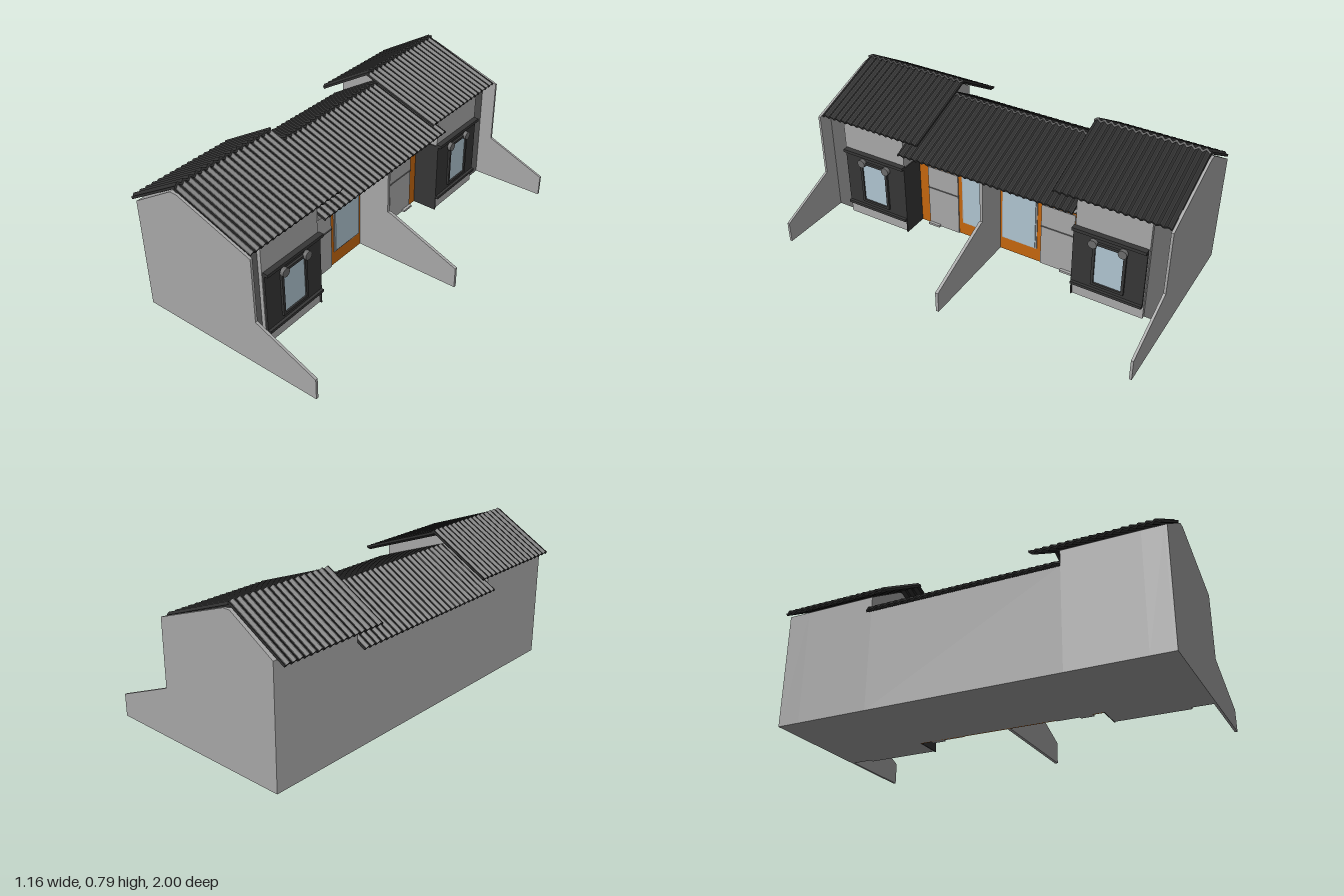
import * as THREE from 'three';

const mat = (name, color) => {
  const m = new THREE.MeshStandardMaterial({ color });
  m.name = name;
  return m;
};

export function createModel() {
  const house = new THREE.Group();
  house.name = 'terraceHouses';
  const render = mat('greyRender', 0xa8a8a8);
  const shade = mat('darkGreyRender', 0x6b6b6b);
  const tile = mat('roofTile', 0x2f2f2f);
  const panel = mat('charcoalPanel', 0x363636);
  const orange = mat('orangeCladding', 0xc4660e);
  const glass = mat('paleGlass', 0xafc4d0);

  const add = (name, geometry, material) => {
    const mesh = new THREE.Mesh(geometry, material);
    mesh.name = name;
    house.add(mesh);
    return mesh;
  };

  // Box given by its limits on each axis
  const box = (name, m, x0, x1, y0, y1, z0, z1) => {
    const g = new THREE.BoxGeometry(x1 - x0, y1 - y0, Math.abs(z1 - z0));
    g.translate((x0 + x1) / 2, (y0 + y1) / 2, (z0 + z1) / 2);
    return add(name, g, m);
  };

  // Side outline (x, y) extruded between two z values
  const slab = (name, m, points, z0, z1) => {
    const shape = new THREE.Shape(points.map(([x, y]) => new THREE.Vector2(x, y)));
    const g = new THREE.ExtrudeGeometry(shape, { depth: Math.abs(z1 - z0), bevelEnabled: false });
    g.translate(0, 0, Math.min(z0, z1));
    return add(name, g, m);
  };

  // Corrugated sheet running from point a (larger x) to point b
  const roofSheet = (name, a, b, z0, z1) => {
    const width = z1 - z0, pitch = 0.037, perWave = 8;
    const n = Math.round((width / pitch) * perWave);
    const top = [], bottom = [];
    for (let i = 0; i <= n; i++) {
      const u = z0 + (width * i) / n;
      const v = 0.006 * Math.cos((2 * Math.PI * u) / pitch);
      top.push(new THREE.Vector2(u, v + 0.004));
      bottom.push(new THREE.Vector2(u, v - 0.008));
    }
    const d = new THREE.Vector3(b[0] - a[0], b[1] - a[1], 0);
    const g = new THREE.ExtrudeGeometry(new THREE.Shape([...bottom, ...top.reverse()]),
      { depth: d.length(), bevelEnabled: false });
    d.normalize();
    const along = new THREE.Vector3(0, 0, 1);
    const m = new THREE.Matrix4().makeBasis(along, d.clone().cross(along), d);
    m.setPosition(a[0], a[1], 0);
    g.applyMatrix4(m);
    add(name, g, tile);
  };

  const bayX = 0.12, recessX = -0.02, pillarX = 0.1;
  const gable = (front, frontY) => [[-0.525, 0], [front, 0], [front, frontY],
    [-0.24, 0.75], [-0.28, 0.75], [-0.525, 0.6]];

  // Ground slab
  box('floor', render, -0.525, recessX, 0, 0.004, -0.99, 0.99);

  for (const s of [1, -1]) {
    // End wall with its sloping garden wing
    slab('endWall', render, [[-0.525, 0], [0.515, 0], [0.515, 0.115], [0.18, 0.255],
      [0.18, 0.6], [-0.24, 0.75], [-0.28, 0.75], [-0.525, 0.6]], s * 0.985, s * 0.998);

    // Tall end volume and recessed corner strip
    slab('endBay', render, gable(bayX, 0.615), s * 0.5, s * 0.88);
    slab('endCore', render, gable(pillarX - 0.004, 0.62), s * 0.88, s * 0.985);
    box('cornerStrip', shade, pillarX - 0.004, pillarX, 0, 0.62, s * 0.88, s * 0.985);

    // Charcoal bay cladding wrapping the inner corner, with ledges
    box('bayPanel', panel, bayX, bayX + 0.01, 0.085, 0.41, s * 0.5, s * 0.875);
    box('bayReturn', panel, recessX, bayX + 0.01, 0, 0.41, s * 0.494, s * 0.5);
    box('bayTopLedge', panel, bayX, bayX + 0.03, 0.405, 0.422, s * 0.492, s * 0.875);
    box('baySill', panel, bayX, bayX + 0.025, 0.075, 0.09, s * 0.497, s * 0.875);

    // Bay window with frame bars and two lamps
    box('bayGlass', glass, bayX + 0.008, bayX + 0.014, 0.13, 0.36, s * 0.615, s * 0.765);
    for (const z of [0.61, 0.77])
      box('bayWindowJamb', panel, bayX, bayX + 0.022, 0.12, 0.37, s * (z - 0.007), s * (z + 0.007));
    for (const y of [0.122, 0.366])
      box('bayWindowRail', panel, bayX, bayX + 0.022, y - 0.007, y + 0.007, s * 0.603, s * 0.777);
    for (const z of [0.605, 0.76]) {
      const lamp = new THREE.CylinderGeometry(0.023, 0.023, 0.02, 16);
      lamp.rotateZ(Math.PI / 2);
      lamp.translate(bayX + 0.025, 0.366, s * z);
      add('wallLamp', lamp, shade);
    }

    // Entrance: orange surround, grey door, large window
    box('orangeSurround', orange, recessX, recessX + 0.008, 0, 0.4, 0, s * 0.494);
    box('doorPanel', render, recessX, recessX + 0.014, 0, 0.37, s * 0.25, s * 0.438);
    box('doorRail', shade, recessX, recessX + 0.018, 0.236, 0.242, s * 0.25, s * 0.438);
    box('doorStep', render, recessX, recessX + 0.03, 0, 0.012, s * 0.37, s * 0.438);
    box('windowFrame', render, recessX, recessX + 0.012, 0.078, 0.385, s * 0.02, s * 0.226);
    box('windowGlass', glass, recessX, recessX + 0.017, 0.086, 0.377, s * 0.028, s * 0.218);
    box('lintel', panel, recessX, recessX + 0.035, 0.398, 0.415, s * 0.01, s * 0.494);
  }

  // Lower middle volume
  slab('middleBody', render, [[-0.525, 0], [recessX, 0], [recessX, 0.57], [-0.25, 0.665],
    [-0.28, 0.665], [-0.525, 0.52]], -0.5, 0.5);

  // Porch soffit and fascia under the middle eave
  box('porchSoffit', render, recessX, bayX, 0.488, 0.494, -0.5, 0.5);
  box('porchFascia', render, bayX - 0.008, bayX + 0.004, 0.488, 0.525, -0.5, 0.5);

  // Party wall between the two entrances, continuing as a wing
  slab('partyWall', render, [[recessX, 0], [0.58, 0], [0.58, 0.115], [0.18, 0.28],
    [0.165, 0.28], [0.165, 0.51], [recessX, 0.56]], -0.008, 0.008);

  // Roofs: two high ends and the lower middle
  for (const [z0, z1] of [[0.37, 0.985], [-0.985, -0.39]]) {
    roofSheet('highRoofBack', [-0.262, 0.78], [-0.578, 0.594], z0, z1);
    roofSheet('highRoofFront', [0.165, 0.607], [-0.272, 0.77], z0, z1);
  }
  roofSheet('middleRoofBack', [-0.262, 0.692], [-0.572, 0.508], -0.5, 0.5);
  roofSheet('middleRoofFront', [0.172, 0.52], [-0.272, 0.685], -0.5, 0.5);

  return house;
}
